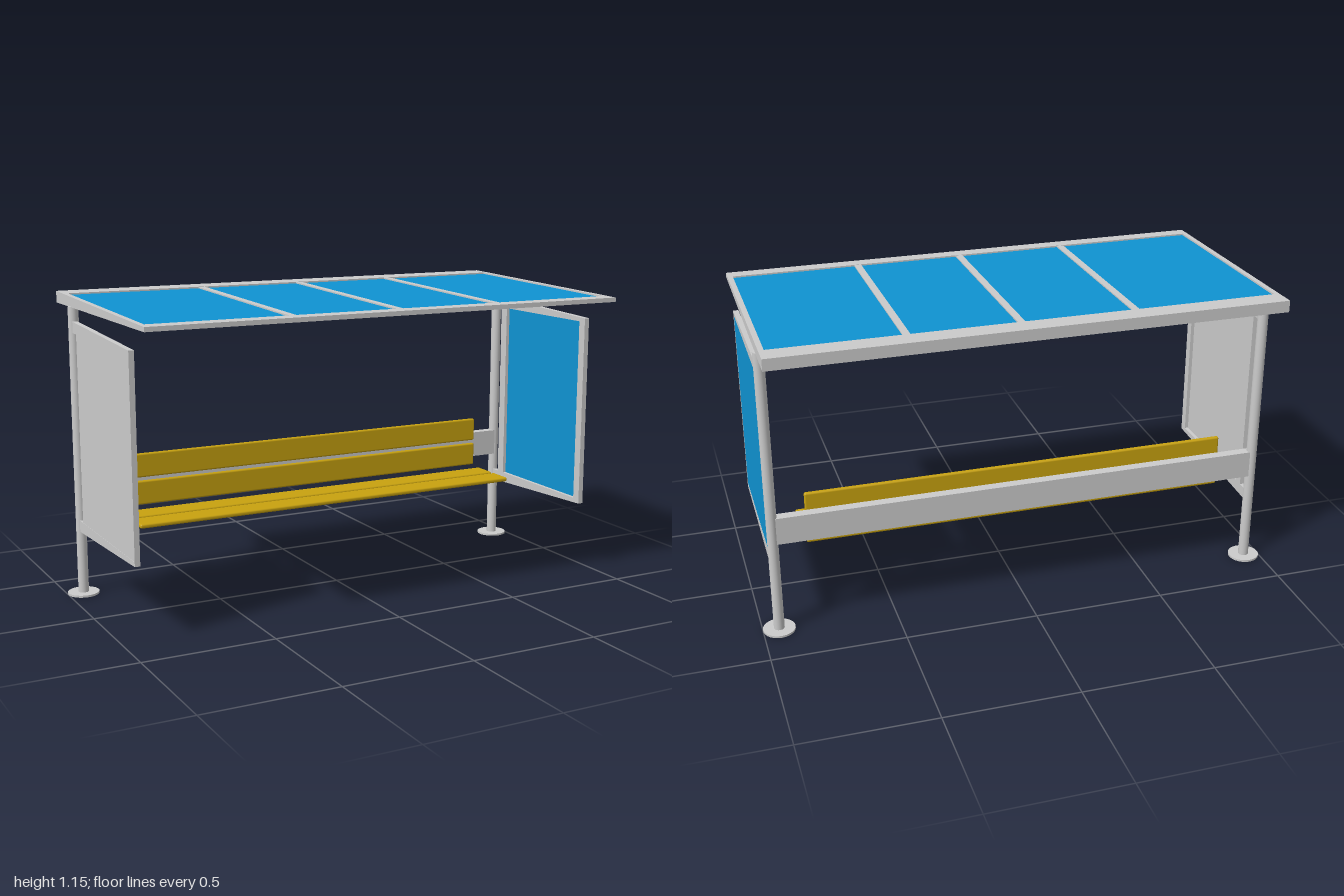
import * as THREE from 'three';
import { RoundedBoxGeometry } from 'three/addons/geometries/RoundedBoxGeometry.js';

const grey = new THREE.MeshStandardMaterial({ color: 0xcccccc });
const blue = new THREE.MeshStandardMaterial({ color: 0x0f93d2 });
const yellow = new THREE.MeshStandardMaterial({ color: 0xc8a20f });

function add(parent, name, geometry, material, x = 0, y = 0, z = 0) {
  const mesh = new THREE.Mesh(geometry, material);
  mesh.name = name;
  mesh.position.set(x, y, z);
  parent.add(mesh);
  return mesh;
}

// Box given by its extents
function box(parent, name, material, [x0, x1], [y0, y1], [z0, z1]) {
  return add(parent, name, new THREE.BoxGeometry(x1 - x0, y1 - y0, z1 - z0), material,
    (x0 + x1) / 2, (y0 + y1) / 2, (z0 + z1) / 2);
}

// Side profile of [z, y] points, extruded from x0 to x1
function prism(parent, name, material, points, x0, x1) {
  const shape = new THREE.Shape(points.map(([z, y]) => new THREE.Vector2(z, y)));
  const geometry = new THREE.ExtrudeGeometry(shape, { depth: x1 - x0, bevelEnabled: false });
  geometry.rotateY(-Math.PI / 2);
  return add(parent, name, geometry, material, x1);
}

// Height of the sloping roof top at a given z
const roofTop = z => 1.1385 - 0.028 * z;

// Roof profile between two z values; bottom is flat or follows the slope
function roofProfile(z0, z1, drop = 0, thickness = null) {
  const bottom = z => (thickness === null ? 1.108 : roofTop(z) - drop - thickness);
  return [[z0, bottom(z0)], [z1, bottom(z1)], [z1, roofTop(z1) - drop], [z0, roofTop(z0) - drop]];
}

function makeRoof() {
  const roof = new THREE.Group();
  roof.name = 'roof';
  prism(roof, 'roofBackBeam', grey, roofProfile(-0.485, -0.4), -0.95, 0.95);
  prism(roof, 'roofFrontBeam', grey, roofProfile(0.43, 0.485), -0.95, 0.95);
  for (const s of [-1, 1]) {
    prism(roof, 'roofSideBeam', grey, roofProfile(-0.4, 0.43), s * 0.94 - 0.01, s * 0.94 + 0.01);
  }
  // Dividing bars with a blue panel in each bay
  const bars = [-0.39, 0.035, 0.445];
  for (const x of bars) {
    prism(roof, 'roofBar', grey, roofProfile(-0.4, 0.43, 0.001, 0.014), x - 0.0135, x + 0.0135);
  }
  const edges = [-0.943, ...bars, 0.943];
  for (let i = 0; i < 4; i++) {
    prism(roof, 'roofPanel', blue, roofProfile(-0.4, 0.43, 0.006, 0.005),
      edges[i] + 0.0135, edges[i + 1] - 0.0135);
  }
  return roof;
}

// Post, foot plate and side screen for one end of the shelter
function makeSide(s) {
  const side = new THREE.Group();
  side.name = s > 0 ? 'leftSide' : 'rightSide';
  const x = s * 0.94;
  add(side, 'post', new THREE.CylinderGeometry(0.02, 0.02, 1.11, 32), grey, x, 0.555, -0.31);
  add(side, 'footPlate', new THREE.CylinderGeometry(0.06, 0.06, 0.008, 40), grey, x, 0.004, -0.31);

  // Tapered arms above and below the screen
  const a = x - 0.01, b = x + 0.01;
  prism(side, 'upperArm', grey, [[-0.3, 1.013], [0.325, 1.013], [0.325, 1.028], [-0.3, 1.056]], a, b);
  prism(side, 'lowerArm', grey, [[-0.3, 0.25], [0.325, 0.278], [0.325, 0.295], [-0.3, 0.295]], a, b);

  // Uprights stand behind the screen on the inner face
  const inner = [x - 0.01, x + 0.006];
  if (s < 0) { inner[0] = x - 0.006; inner[1] = x + 0.01; }
  box(side, 'frontUpright', grey, inner, [0.295, 1.013], [0.29, 0.318]);
  box(side, 'rearUpright', grey, inner, [0.295, 1.013], [-0.255, -0.215]);
  box(side, 'frontTrim', grey, [a, b], [0.278, 1.028], [0.318, 0.325]);

  // Screen: coloured at one end, plain at the other
  const outer = s > 0 ? [x + 0.004, x + 0.009] : [x - 0.009, x - 0.004];
  box(side, 'sideScreen', s > 0 ? blue : grey, outer, [0.295, 1.013], [-0.255, 0.318]);
  return side;
}

function makeBench() {
  const bench = new THREE.Group();
  bench.name = 'bench';
  box(bench, 'backBeam', grey, [-0.93, 0.93], [0.365, 0.47], [-0.325, -0.287]);
  for (const y of [0.38, 0.488]) {
    add(bench, 'backrestBoard', new RoundedBoxGeometry(1.62, 0.094, 0.018, 3, 0.007), yellow, 0.003, y, -0.278);
  }
  for (const z of [-0.06, -0.178]) {
    add(bench, 'seatBoard', new RoundedBoxGeometry(1.62, 0.017, 0.1, 3, 0.007), yellow, 0.003, 0.32, z);
  }
  return bench;
}

export function createModel() {
  const shelter = new THREE.Group();
  shelter.name = 'shelter';
  shelter.add(makeRoof(), makeSide(1), makeSide(-1), makeBench());
  return shelter;
}
